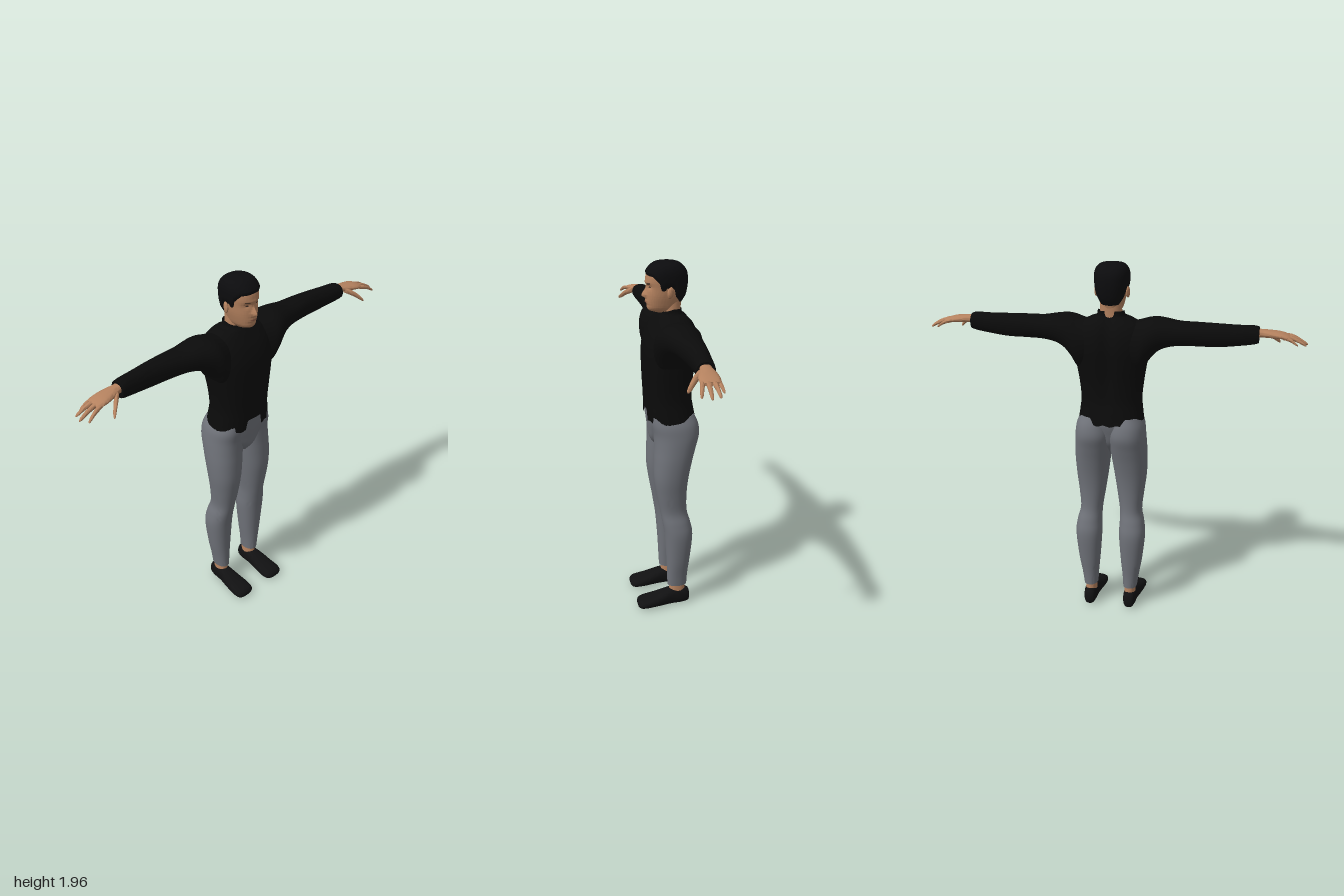
import * as THREE from 'three';
import { toCreasedNormals } from 'three/addons/utils/BufferGeometryUtils.js';

const mat = (name, color, side = THREE.FrontSide) => {
  const m = new THREE.MeshStandardMaterial({ color, side });
  m.name = name;
  return m;
};
const gauss = (d, s) => Math.exp(-(d * d) / (s * s));
const spow = (v, p) => Math.sign(v) * Math.abs(v) ** p;

// Smooth interpolation between cross-section rows; u counts rows
function rowAt(rows, u) {
  const last = rows.length - 1;
  const i = Math.min(Math.floor(u), last - 1), t = u - i;
  const at = k => rows[Math.max(0, Math.min(last, k))];
  const [a, b, c, d] = [at(i - 1), at(i), at(i + 1), at(i + 2)];
  return b.map((v, k) => v + 0.5 * t * (c[k] - a[k] +
    t * (2 * a[k] - 5 * v + 4 * c[k] - d[k] + t * (3 * (v - c[k]) + d[k] - a[k]))));
}

// Closed rings of points joined into a skin
function skin(point, rings, sides) {
  const pos = [], index = [];
  for (let i = 0; i <= rings; i++) {
    for (let j = 0; j < sides; j++) {
      pos.push(...point(i, (j / sides) * Math.PI * 2));
      if (i === rings) continue;
      const k = (j + 1) % sides, a = i * sides, b = a + sides;
      index.push(a + j, a + k, b + k, a + j, b + k, b + j);
    }
  }
  const g = new THREE.BufferGeometry();
  g.setAttribute('position', new THREE.Float32BufferAttribute(pos, 3));
  g.setIndex(index);
  return g;
}

// Loft along an axis; rows are [position, aMin, aMax, bMin, bMax]
// axis y: a = x, b = z; axis x: a = z, b = y; axis z: a = y, b = x
function loft(axis, rows, { sides = 32, e = 2.2, sub = 5, deform = p => p, caps = true } = {}) {
  const n = (rows.length - 1) * sub, pad = caps ? 1 : 0;
  return skin((i, th) => {
    const k = i - pad, closed = k < 0 || k > n;
    const [t, a0, a1, b0, b1] = rowAt(rows, Math.max(0, Math.min(n, k)) / sub);
    const r = closed ? 0 : 0.5;
    const a = (a0 + a1) / 2 + (a1 - a0) * r * spow(Math.sin(th), 2 / e);
    const b = (b0 + b1) / 2 + (b1 - b0) * r * spow(Math.cos(th), 2 / e);
    return deform(axis === 'y' ? [a, t, b] : axis === 'x' ? [t, b, a] : [b, a, t]);
  }, n + 2 * pad, sides);
}

function mirrored(g) {
  const m = g.clone().scale(-1, 1, 1), ix = m.index.array;
  for (let i = 0; i < ix.length; i += 3) [ix[i], ix[i + 1]] = [ix[i + 1], ix[i]];
  return m;
}

// Head rows: height, half width, back z, front z
const HEAD = [
  [1.690, .030, -.075, .000], [1.708, .040, -.085, .070], [1.725, .052, -.088, .086],
  [1.755, .062, -.095, .090], [1.790, .071, -.107, .091], [1.830, .077, -.115, .088],
  [1.870, .081, -.117, .092], [1.905, .081, -.112, .084], [1.930, .072, -.095, .064],
  [1.947, .050, -.066, .036], [1.954, .000, -.010, -.010],
];
function headPoint(th, u, off = 0) {
  let [y, rx, z0, z1] = rowAt(HEAD, u);
  const s = Math.sin(th), c = Math.cos(th), o = off * Math.min(1, 10 - u);
  const x = rx * spow(s, 0.87) + s * o;
  let z = (z0 + z1) / 2 + (z1 - z0) / 2 * spow(c, 0.87) + c * o;
  if (c > 0) {
    // nose, eye sockets, brow, lips and chin
    const bridge = y > 1.787 ? gauss(y - 1.787, .034) : gauss(y - 1.787, .010);
    z += .024 * gauss(x, .006 + .009 * gauss(y - 1.787, .022)) * bridge;
    z -= .009 * gauss(Math.abs(x) - .032, .016) * gauss(y - 1.836, .012);
    z += .004 * gauss(x, .045) * gauss(y - 1.856, .008);
    z += .005 * gauss(x, .022) * gauss(y - 1.757, .012);
    z -= .004 * gauss(x, .030) * gauss(y - 1.738, .007);
  }
  return [x, y + off * Math.max(0, (u - 7) / 3), z];
}

// Hairline: [angle from the front, head row]
const HAIRLINE = [[0, 6.7], [.75, 6.6], [1, 6.1], [1.2, 5.6], [1.25, 4.8], [1.42, 4.7],
  [1.5, 5.1], [1.8, 5], [1.95, 4], [2.4, 3], [3.2, 2.9]];
function hairline(th) {
  const a = th > Math.PI ? 2 * Math.PI - th : th;
  const i = HAIRLINE.findIndex(h => h[0] > a);
  const [p, q] = [HAIRLINE[i - 1], HAIRLINE[i]];
  return p[1] + (q[1] - p[1]) * (a - p[0]) / (q[0] - p[0]);
}

// Thin oval lying on the face
const facePatch = (th, u, w, h, tilt = 0) => skin((i, a) => {
  const r = 1 - i / 4, dx = w * r * Math.cos(a);
  return headPoint(th + dx, u + h * r * Math.sin(a) + tilt * dx, .002);
}, 4, 20);

export function createModel() {
  const model = new THREE.Group();
  const skinMat = mat('skin', 0xb5825f);
  const shirtMat = mat('black shirt', 0x0b0b0b, THREE.DoubleSide);
  const pantsMat = mat('grey trousers', 0x70737a);
  const shoeMat = mat('black shoes', 0x111112);
  const hairMat = mat('black hair', 0x0c0c0e, THREE.DoubleSide);
  const eyeMat = mat('eye', 0x3a2a22);
  const lipMat = mat('lips', 0x96604b);

  const add = (name, g, m) => {
    const mesh = new THREE.Mesh(toCreasedNormals(g, 1.0), m);
    mesh.name = name;
    model.add(mesh);
  };
  const pair = (name, g, m) => {
    add('left' + name, g, m);
    add('right' + name, mirrored(g), m);
  };

  // Shirt body: notched front hem, spine groove and dipped collar
  const sym = rows => rows.map(([y, x, z0, z1]) => [y, -x, x, z0, z1]);
  add('shirtBody', loft('y', sym([
    [1.125, .176, -.166, .102], [1.18, .168, -.155, .104], [1.25, .162, -.145, .106],
    [1.35, .172, -.150, .111], [1.45, .188, -.164, .113], [1.53, .198, -.173, .108],
    [1.60, .195, -.166, .085], [1.65, .165, -.146, .055], [1.68, .115, -.120, .034],
    [1.695, .076, -.102, .024], [1.722, .068, -.098, .016],
  ]), {
    sides: 96, e: 2.4, caps: false, deform: ([x, y, z]) => {
      if (z > 0 && Math.abs(x) < .052) y = Math.max(y, 1.185);
      else if (y < 1.14) y += .005 * Math.sin(x * 90);
      if (z < -.05) z += .017 * gauss(x, .035) * Math.min(1, Math.max(0, (y - 1.2) * 5));
      if (y > 1.69 && z > -.04) y -= .5 * (y - 1.69) * Math.min(1, (z + .04) / .05);
      return [x, y, z];
    },
  }), shirtMat);

  // Sleeves with the shoulder and armpit
  pair('Sleeve', loft('x', [
    [.09, -.150, .050, 1.44, 1.662], [.16, -.160, .085, 1.41, 1.677], [.20, -.155, .090, 1.465, 1.687],
    [.24, -.145, .077, 1.512, 1.692], [.29, -.133, .056, 1.54, 1.688], [.36, -.122, .035, 1.554, 1.678],
    [.45, -.112, .020, 1.556, 1.678], [.55, -.100, .010, 1.556, 1.676], [.65, -.086, .012, 1.565, 1.672],
    [.73, -.074, .018, 1.575, 1.671], [.757, -.070, .020, 1.583, 1.664],
  ]), shirtMat);

  // Trousers
  add('trouserSeat', loft('y', sym([
    [.945, .018, -.070, .035], [1.0, .07, -.115, .076], [1.06, .125, -.135, .087],
    [1.13, .171, -.150, .094], [1.20, .158, -.142, .099], [1.24, .150, -.130, .096],
  ])), pantsMat);
  pair('TrouserLeg', loft('y', [
    [.125, .075, .152, -.109, .000], [.20, .070, .163, -.113, .003], [.30, .060, .180, -.124, .007],
    [.45, .050, .195, -.137, .018], [.53, .052, .187, -.124, .030], [.60, .050, .172, -.106, .042],
    [.70, .035, .181, -.105, .060], [.80, .020, .193, -.115, .073], [.90, .006, .198, -.135, .073],
    [.98, -.004, .196, -.156, .070], [1.05, -.008, .191, -.174, .072], [1.11, .000, .183, -.167, .082],
    [1.16, .010, .163, -.145, .085],
  ]), pantsMat);

  // Ankles and shoes
  pair('Ankle', loft('y', [
    [.07, .080, .146, -.102, -.005], [.10, .082, .144, -.101, -.010], [.14, .083, .143, -.098, -.012],
  ]), skinMat);
  pair('Shoe', loft('z', [
    [-.125, .020, .065, .098, .130], [-.115, .006, .088, .086, .142], [-.08, .000, .102, .078, .150],
    [-.02, .000, .101, .075, .155], [.03, .000, .086, .068, .165], [.08, .000, .068, .060, .172],
    [.13, .000, .055, .057, .176], [.162, .003, .045, .065, .170], [.175, .012, .030, .085, .150],
  ], { e: 2.5 }), shoeMat);

  // Palms, fingers and thumbs
  pair('Palm', loft('x', [
    [.73, -.055, .005, 1.612, 1.657], [.77, -.052, .008, 1.612, 1.653], [.81, -.058, .024, 1.611, 1.649],
    [.86, -.060, .038, 1.609, 1.642], [.895, -.058, .037, 1.606, 1.632], [.91, -.050, .030, 1.608, 1.625],
  ], { sides: 24 }), skinMat);
  const digit = (from, to, r) => loft('x', [0, .3, .6, .9, 1].map((t, i) => {
    const p = from.map((v, k) => v + (to[k] - v) * t);
    const w = r * [1, 1.05, .92, .68, .25][i], y = p[1] + .008 * Math.sin(t * Math.PI);
    return [p[0], p[2] - w, p[2] + w, y - w, y + w];
  }), { sides: 14, sub: 3 });
  [
    ['IndexFinger', [.885, 1.618, .025], [.978, 1.580, .052], .0105],
    ['MiddleFinger', [.885, 1.620, .002], [1.0, 1.578, .010], .0110],
    ['RingFinger', [.885, 1.620, -.022], [.992, 1.580, -.030], .0105],
    ['LittleFinger', [.875, 1.618, -.045], [.95, 1.585, -.056], .0090],
    ['Thumb', [.785, 1.626, .008], [.862, 1.566, .082], .0150],
  ].forEach(([name, from, to, r]) => pair(name, digit(from, to, r), skinMat));

  // Neck, head and ears
  add('neck', loft('y', sym([
    [1.66, .062, -.092, .012], [1.71, .057, -.090, .008], [1.78, .056, -.092, .012],
  ])), skinMat);
  add('head', skin((i, th) => i ? headPoint(th, (i - 1) / 8) : [0, 1.69, -.04], 81, 96), skinMat);
  const ear = new THREE.SphereGeometry(1, 16, 12).scale(.009, .030, .018);
  pair('Ear', ear.rotateX(-.15).rotateY(.25).translate(.083, 1.812, -.020), skinMat);

  // Hair follows the skull above the hairline
  add('hair', skin((i, th) => {
    const u0 = hairline(th), t = i / 24;
    return headPoint(th, u0 + (10 - u0) * t, .001 + .008 * Math.min(1, t * 8));
  }, 24, 96), hairMat);

  // Eyes, brows and mouth
  pair('Eye', facePatch(.37, 5.1, .12, .08), eyeMat);
  pair('Eyebrow', facePatch(.40, 5.55, .19, .07, .4), hairMat);
  add('mouth', facePatch(0, 3.05, .30, .13), lipMat);

  return model;
}
